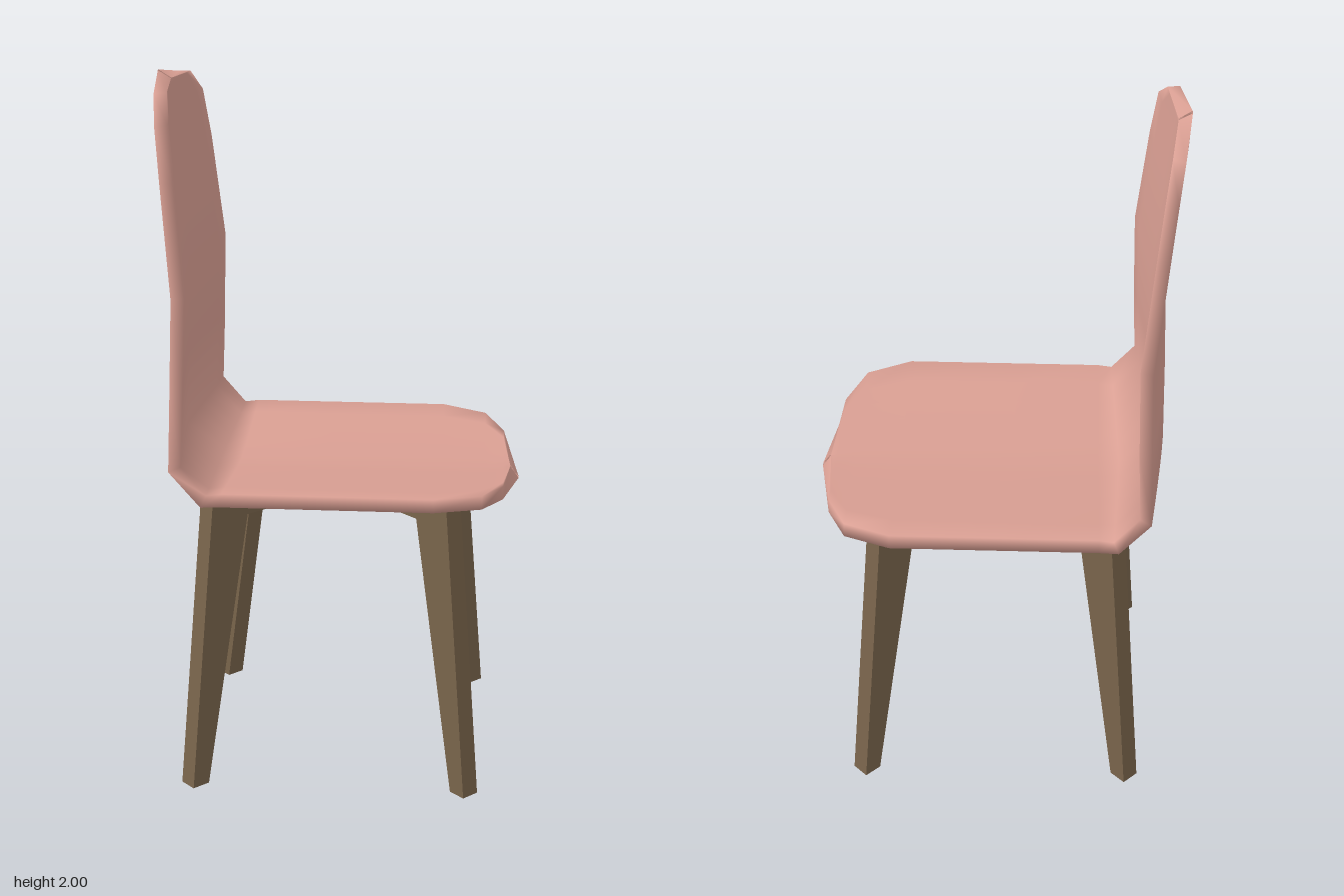
import * as THREE from 'three';

const COLUMNS = 10, HALF_WIDTH = 0.45, DISH = 0.047, THICKNESS = 0.034, RIM = 0.012;

// Stations along the underside centre line: x, y, half width
const stations = [
  [0.512, 0.832, 0.008], [0.467, 0.832, 0.265], [0.41, 0.832, 0.392], [0.28, 0.832, 0.45],
  [-0.05, 0.832, 0.45], [-0.3, 0.832, 0.45], [-0.375, 0.834, 0.45],
  [-0.485, 0.96, 0.449], [-0.479, 1.2, 0.44], [-0.47, 1.45, 0.425], [-0.494, 1.75, 0.38],
  [-0.506, 1.895, 0.336], [-0.512, 1.965, 0.224], [-0.515, 2.0, 0.008],
];

// One-piece dished seat and backrest, lofted from closed cross-sections
function shellGeometry() {
  const positions = [], index = [];
  const ring = 2 * (COLUMNS + 1), last = stations.length - 1;
  const point = (i) => new THREE.Vector2(stations[i][0], stations[i][1]);
  stations.forEach(([x, y, w], i) => {
    const before = point(i).sub(point(Math.max(i - 1, 0))).normalize();
    const after = point(Math.min(i + 1, last)).sub(point(i)).normalize();
    const t = before.add(after).normalize();
    const n = new THREE.Vector2(t.y, -t.x);
    const inset = i === 0 ? 0.025 : i === last ? -0.025 : 0;
    for (let k = 0; k < ring; k++) {
      const inner = k > COLUMNS;
      const u = ((inner ? ring - 1 - k : k) / COLUMNS) * 2 - 1;
      const z = u * (inner ? Math.max(w - RIM, 0.005) : w);
      const rise = DISH * Math.pow(Math.abs(u * w) / HALF_WIDTH, 1.15) + (inner ? THICKNESS : 0);
      const slide = inner ? inset : 0;
      positions.push(x + n.x * rise + t.x * slide, y + n.y * rise + t.y * slide, z + 0.01);
    }
  });
  for (let i = 0; i < last; i++) {
    for (let k = 0; k < ring; k++) {
      const a = i * ring + k, b = i * ring + ((k + 1) % ring);
      index.push(a, b, a + ring, b, b + ring, a + ring);
    }
  }
  // Close the front lip and the top edge
  for (let k = 0; k < COLUMNS; k++) {
    const o = last * ring, m = ring - 1 - k;
    index.push(k, m, k + 1, k + 1, m, m - 1);
    index.push(o + k, o + k + 1, o + m, o + k + 1, o + m - 1, o + m);
  }
  const geometry = new THREE.BufferGeometry();
  geometry.setAttribute('position', new THREE.Float32BufferAttribute(positions, 3));
  geometry.setIndex(index);
  geometry.computeVertexNormals();
  return geometry;
}

// Two splayed legs joined by a rail, cut from one flat profile
function legFrameGeometry() {
  const depth = 0.055;
  const half = [[0.485, 0.86], [0.575, 0], [0.52, 0], [0.364, 0.79]];
  const outline = [...half, ...half.map(([x, y]) => [-x, y]).reverse()];
  const shape = new THREE.Shape(outline.map(([x, y]) => new THREE.Vector2(x, y)));
  const geometry = new THREE.ExtrudeGeometry(shape, { depth, bevelEnabled: false });
  return geometry.translate(0, 0, -depth / 2);
}

export function createModel() {
  const pink = new THREE.MeshStandardMaterial({ color: 0xd89e92 });
  pink.name = 'dustyPink';
  const wood = new THREE.MeshStandardMaterial({ color: 0x7a654c });
  wood.name = 'darkWood';

  const chair = new THREE.Group();
  chair.name = 'chair';

  const shell = new THREE.Mesh(shellGeometry(), pink);
  shell.name = 'seatShell';
  chair.add(shell);

  // Leg frames cross on the two diagonals
  const frame = legFrameGeometry();
  [1, -1].forEach((side) => {
    const legs = new THREE.Mesh(frame, wood);
    legs.name = side > 0 ? 'legFrameA' : 'legFrameB';
    legs.rotation.y = (side * Math.PI) / 4;
    legs.position.set(-0.012, 0, -0.01);
    chair.add(legs);
  });
  return chair;
}
